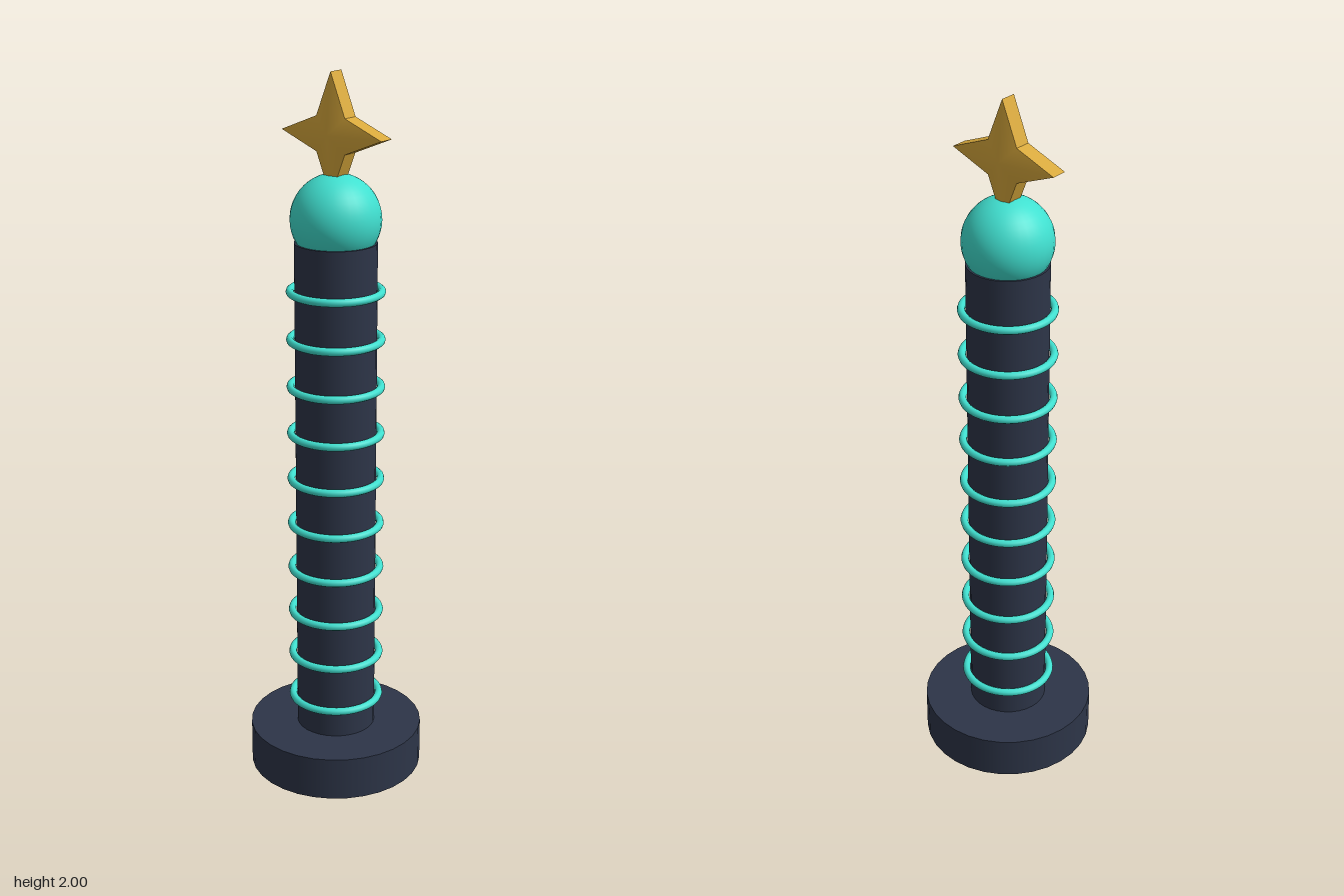
import * as THREE from 'three';
import { toCreasedNormals } from 'three/addons/utils/BufferGeometryUtils.js';

const material = (name, color) => {
  const m = new THREE.MeshStandardMaterial({ color });
  m.name = name;
  return m;
};

// Four-pointed star in the yz plane: a rim of constant width, domed to a peak on each side
function starGeometry(outer, inner, rim, peak) {
  const outline = [];
  for (let i = 0; i < 8; i++) {
    const a = (i * Math.PI) / 4;
    const r = i % 2 ? inner : outer;
    outline.push([r * Math.cos(a), r * Math.sin(a)]);
  }
  const pos = [];
  for (let i = 0; i < 8; i++) {
    const [y0, z0] = outline[i];
    const [y1, z1] = outline[(i + 1) % 8];
    pos.push(peak, 0, 0, rim, y0, z0, rim, y1, z1);
    pos.push(-peak, 0, 0, -rim, y1, z1, -rim, y0, z0);
    pos.push(rim, y0, z0, -rim, y0, z0, -rim, y1, z1);
    pos.push(rim, y0, z0, -rim, y1, z1, rim, y1, z1);
  }
  const geo = new THREE.BufferGeometry();
  geo.setAttribute('position', new THREE.Float32BufferAttribute(pos, 3));
  return toCreasedNormals(geo, 0.7);
}

export function createModel() {
  const model = new THREE.Group();
  const navy = material('dark slate', 0x2d3548);
  const teal = material('turquoise', 0x40e0d0);
  const gold = material('gold', 0xd9a93c);

  const add = (name, geometry, mat, y) => {
    const mesh = new THREE.Mesh(geometry, mat);
    mesh.name = name;
    mesh.position.y = y;
    model.add(mesh);
    return mesh;
  };

  // Base and column
  add('base', new THREE.CylinderGeometry(0.247, 0.247, 0.124, 32), navy, 0.062);
  add('column', new THREE.CylinderGeometry(0.112, 0.112, 1.43, 32), navy, 0.835);

  // Evenly spaced rings around the column
  const ringGeometry = new THREE.TorusGeometry(0.124, 0.011, 10, 64).rotateX(Math.PI / 2);
  for (let i = 0; i < 10; i++) add(`ring${i + 1}`, ringGeometry, teal, 0.21 + i * 0.134);

  // Ball and star finial
  add('ball', new THREE.SphereGeometry(0.123, 32, 24), teal, 1.612);
  add('star', starGeometry(0.163, 0.066, 0.023, 0.041), gold, 1.837);

  return model;
}
